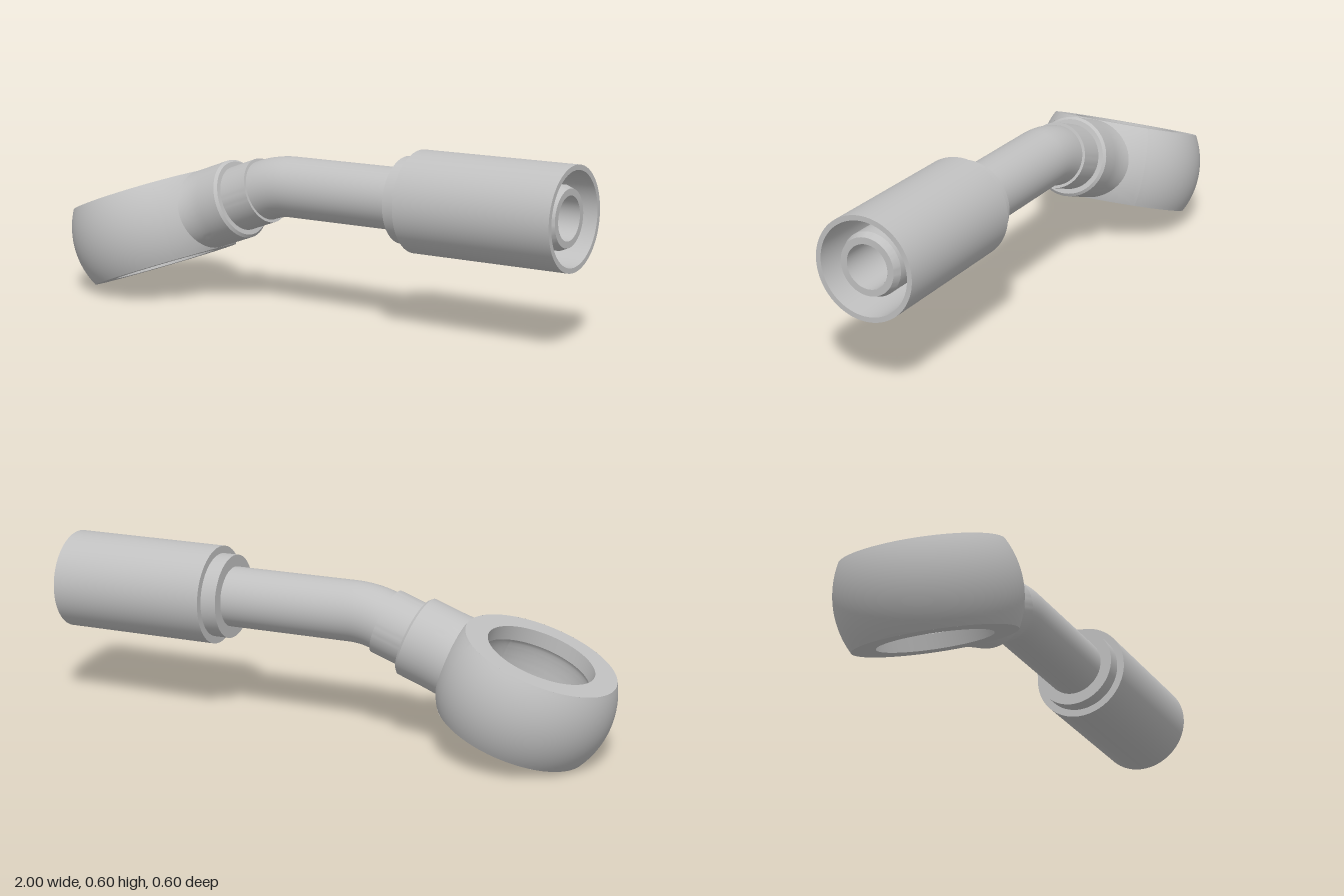
import * as THREE from 'three';
import { toCreasedNormals } from 'three/addons/utils/BufferGeometryUtils.js';

const TILT = THREE.MathUtils.degToRad(20);
const AXIS_Y = 0.432;                 // height of the straight tube
const EYE = [-0.701, 0.227];          // centre of the ring eye
const BORE = 0.073, EYE_R = 0.3, EYE_H = 0.1415, HOLE_R = 0.187, GROOVE_H = 0.09;

export function createModel() {
  const model = new THREE.Group();
  const steel = new THREE.MeshStandardMaterial({ color: 0xc0c0c0, side: THREE.DoubleSide });
  steel.name = 'steel';

  const add = (parent, name, geometry) => {
    const mesh = new THREE.Mesh(geometry, steel);
    mesh.name = name;
    parent.add(mesh);
    return mesh;
  };
  const lathe = (points, start = 0, length = Math.PI * 2) => toCreasedNormals(
    new THREE.LatheGeometry(points.map(([r, y]) => new THREE.Vector2(r, y)), 72, start, length), 0.5);
  // Revolved around x, profile given as [x, radius]
  const turned = (points) => lathe(points.map(([x, r]) => [r, x])).rotateZ(-Math.PI / 2);

  // Ring eye, tilted with its neck
  const eye = new THREE.Group();
  eye.name = 'ringEye';
  eye.position.set(EYE[0], EYE[1], 0);
  eye.rotation.z = TILT;
  model.add(eye);

  const sphereR = (y) => Math.sqrt(EYE_R ** 2 - y ** 2);
  const grooveR = (y) => HOLE_R + 0.015 * Math.sqrt(Math.max(0, 1 - (y / GROOVE_H) ** 2));
  const band = (radius, h, a, up) => {
    const points = [];
    for (let i = 0; i <= 24; i++) {
      const y = up * h * (i / 12 - 1);
      points.push([radius(y), y]);
    }
    return lathe(points, Math.PI / 2 + a, Math.PI * 2 - 2 * a);
  };
  const A = 0.75;
  add(eye, 'eyeOuterWall', band(sphereR, EYE_H, A, 1));
  add(eye, 'eyeOuterWallAtNeck', portPatch(sphereR, EYE_H, A, 0.1, -1));
  add(eye, 'eyeInnerGroove', band(grooveR, GROOVE_H, A, -1));
  add(eye, 'eyeInnerGrooveAtPort', portPatch(grooveR, GROOVE_H, A, BORE, 1, 0.28));
  const rim = Math.sqrt(EYE_R ** 2 - EYE_H ** 2);
  add(eye, 'eyeLowerFace', lathe([[HOLE_R, -GROOVE_H], [HOLE_R, -EYE_H], [rim, -EYE_H]]));
  add(eye, 'eyeUpperFace', lathe([[rim, EYE_H], [HOLE_R, EYE_H], [HOLE_R, GROOVE_H]]));

  // Neck, flared sideways where it blends into the eye
  const neckProfile = [];
  for (let i = 0; i <= 8; i++) neckProfile.push([0.21 + i * 0.016, 0.141]);
  neckProfile.push([0.415, 0.141], [0.424, 0.132], [0.424, 0.1]);
  const neck = turned(neckProfile);
  const p = neck.attributes.position;
  for (let i = 0; i < p.count; i++) {
    const k = Math.max(0, (0.338 - p.getX(i)) / 0.138);
    p.setZ(i, p.getZ(i) * (1 + 0.3 * k * k));
  }
  add(eye, 'neck', toCreasedNormals(neck, 0.5));
  add(eye, 'neckSocket', turned([[0.42, 0.115], [0.533, 0.115], [0.533, 0.1]]));

  // Bent tube and its bore
  const along = (u) => new THREE.Vector3(
    EYE[0] + u * Math.cos(TILT), EYE[1] + u * Math.sin(TILT), 0);
  const corner = along((AXIS_Y - EYE[1]) / Math.sin(TILT));
  const bendLength = 0.06;
  const bentTube = (fromU, toX, radius) => {
    const a = along(corner.distanceTo(along(0)) - bendLength);
    const b = corner.clone().setX(corner.x + bendLength);
    const path = new THREE.CurvePath();
    path.add(new THREE.LineCurve3(along(fromU), a));
    path.add(new THREE.QuadraticBezierCurve3(a, corner, b));
    path.add(new THREE.LineCurve3(b, new THREE.Vector3(toX, AXIS_Y, 0)));
    return new THREE.TubeGeometry(path, 120, radius, 48);
  };
  add(model, 'tube', bentTube(0.5, 0.955, 0.105));
  add(model, 'bore', bentTube(0.26, 0.98, BORE));

  // Hose end: tube tip, collar and hollow sleeve
  const hoseEnd = new THREE.Group();
  hoseEnd.name = 'hoseEnd';
  hoseEnd.position.y = AXIS_Y;
  model.add(hoseEnd);
  add(hoseEnd, 'tubeTip', turned([[0.955, 0.105], [0.98, 0.095], [0.98, BORE]]));
  add(hoseEnd, 'collar', turned([[0.375, 0.1], [0.375, 0.146], [0.432, 0.146]]));
  add(hoseEnd, 'sleeve', turned([
    [0.43, 0.14], [0.43, 0.172], [1, 0.172], [1, 0.155], [0.46, 0.147], [0.46, 0.1]]));
  return model;
}

// Part of a revolved wall around +x with a round port; boreEnd adds the port's own wall
function portPatch(radius, h, a, hole, side, boreEnd) {
  const N = 64, M = 8, position = [], index = [];
  for (let j = boreEnd ? -1 : 0; j <= M; j++) {
    for (let i = 0; i <= N; i++) {
      const t = side * (i % N) / N * Math.PI * 2, c = Math.cos(t), s = Math.sin(t);
      if (j < 0) {
        position.push(boreEnd, hole * s, hole * c);
        continue;
      }
      const d = Math.max(Math.abs(c), Math.abs(s));
      const k = j / M;
      const y = THREE.MathUtils.lerp(hole * s, h * s / d, k);
      const phi = THREE.MathUtils.lerp(Math.asin(hole * c / radius(hole * s)), a * c / d, k);
      position.push(radius(y) * Math.cos(phi), y, radius(y) * Math.sin(phi));
    }
  }
  const rows = position.length / 3 / (N + 1);
  for (let j = 0; j < rows - 1; j++) {
    for (let i = 0; i < N; i++) {
      const q = j * (N + 1) + i, r = q + N + 1;
      index.push(q, r, q + 1, r, r + 1, q + 1);
    }
  }
  const geometry = new THREE.BufferGeometry();
  geometry.setAttribute('position', new THREE.Float32BufferAttribute(position, 3));
  geometry.setIndex(index);
  return toCreasedNormals(geometry, 0.6);
}
